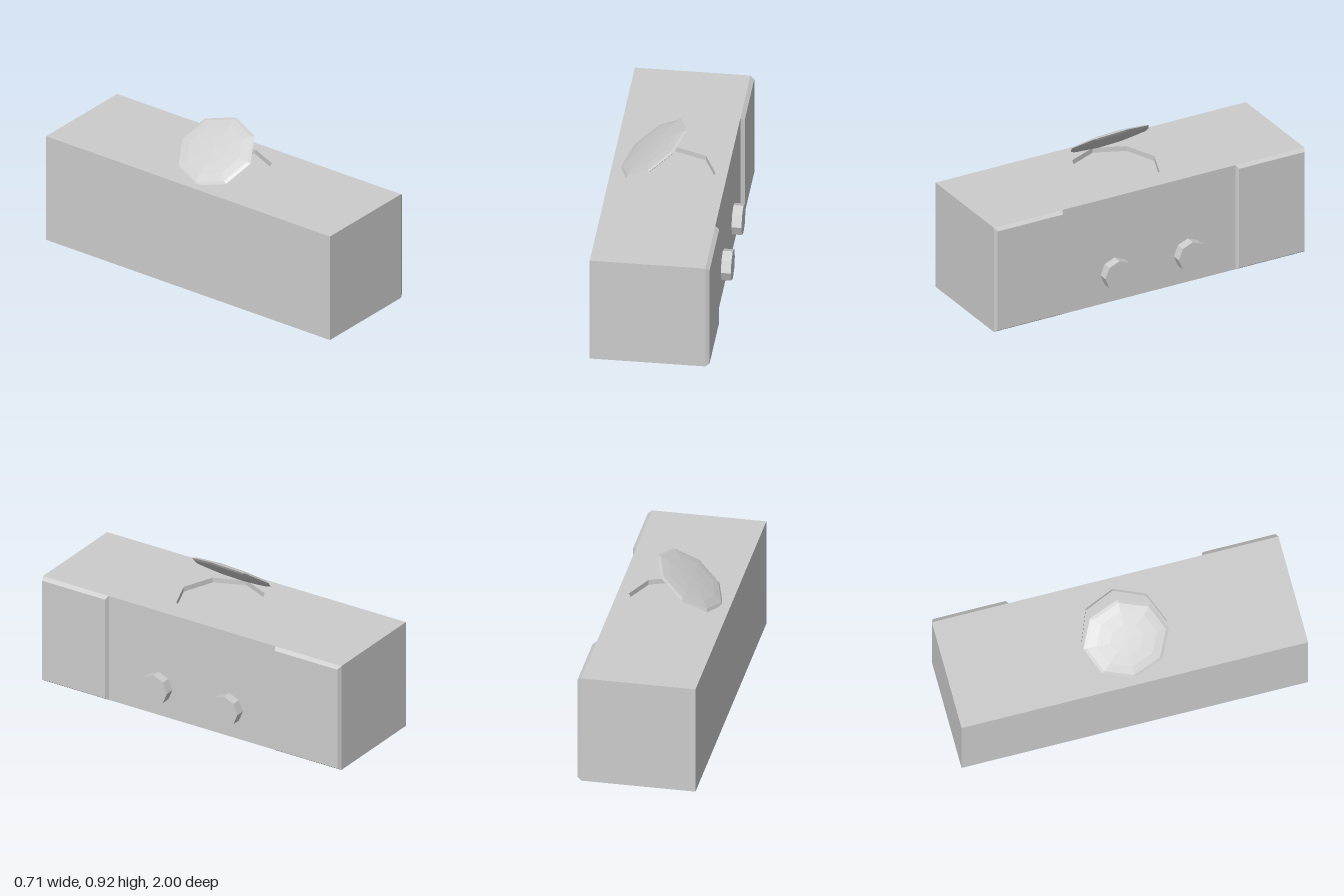
import * as THREE from 'three';

const material = new THREE.MeshStandardMaterial({ color: 0xcccccc, flatShading: true });

function part(name, geometry, x = 0, y = 0, z = 0) {
  const mesh = new THREE.Mesh(geometry, material);
  mesh.name = name;
  mesh.position.set(x, y, z);
  return mesh;
}

// Box whose +x face is pulled in on all sides to form bevels
function bevelledPanel(depth, height, width, insetY, insetZ) {
  const geo = new THREE.BoxGeometry(depth, height, width);
  const p = geo.attributes.position;
  for (let i = 0; i < p.count; i++) {
    if (p.getX(i) > 0) {
      p.setY(i, p.getY(i) - Math.sign(p.getY(i)) * insetY);
      p.setZ(i, p.getZ(i) - Math.sign(p.getZ(i)) * insetZ);
    }
  }
  geo.computeVertexNormals();
  return geo;
}

export function createModel() {
  const group = new THREE.Group();
  const back = -0.355, front = 0.295, top = 0.65, recess = 0.03;
  const midX = (back + front) / 2;

  // Main cabinet
  group.add(part('cabinet', new THREE.BoxGeometry(front - back, top - recess, 2), midX, (top - recess) / 2, 0));

  // Top slab with an octagonal disc well
  const slab = new THREE.Shape([
    new THREE.Vector2(back, -1), new THREE.Vector2(front, -1),
    new THREE.Vector2(front, 1), new THREE.Vector2(back, 1),
  ]);
  const well = [];
  for (let i = 0; i < 8; i++) {
    const a = (i / 8) * Math.PI * 2;
    well.push(new THREE.Vector2(-0.03 + 0.26 * Math.cos(a), -0.025 + 0.247 * Math.sin(a)));
  }
  slab.holes.push(new THREE.Path(well));
  const slabGeo = new THREE.ExtrudeGeometry(slab, { depth: recess, bevelEnabled: false });
  slabGeo.rotateX(-Math.PI / 2);
  group.add(part('topWithDiscWell', slabGeo, 0, top - recess, 0));

  // Raised lens-shaped lid over the well
  const lidGeo = new THREE.SphereGeometry(1, 8, 8);
  lidGeo.scale(0.232, 0.022, 0.247);
  const lid = part('discLid', lidGeo, -0.12, 0.778, 0.012);
  lid.rotation.z = THREE.MathUtils.degToRad(36.2);
  group.add(lid);

  // Speaker panels and round knobs on the +x face
  const knobZ = { left: 0.222, right: -0.25 };
  for (const [side, sign] of [['left', 1], ['right', -1]]) {
    group.add(part(side + 'Speaker', bevelledPanel(0.023, top, 0.443, 0.016, 0.011),
      front + 0.0115, top / 2, sign * 0.7785));
    const knobGeo = new THREE.CylinderGeometry(0.09, 0.09, 0.06, 8);
    knobGeo.rotateZ(-Math.PI / 2);
    group.add(part(side + 'Knob', knobGeo, front + 0.026, 0.18, knobZ[side]));
  }
  return group;
}
